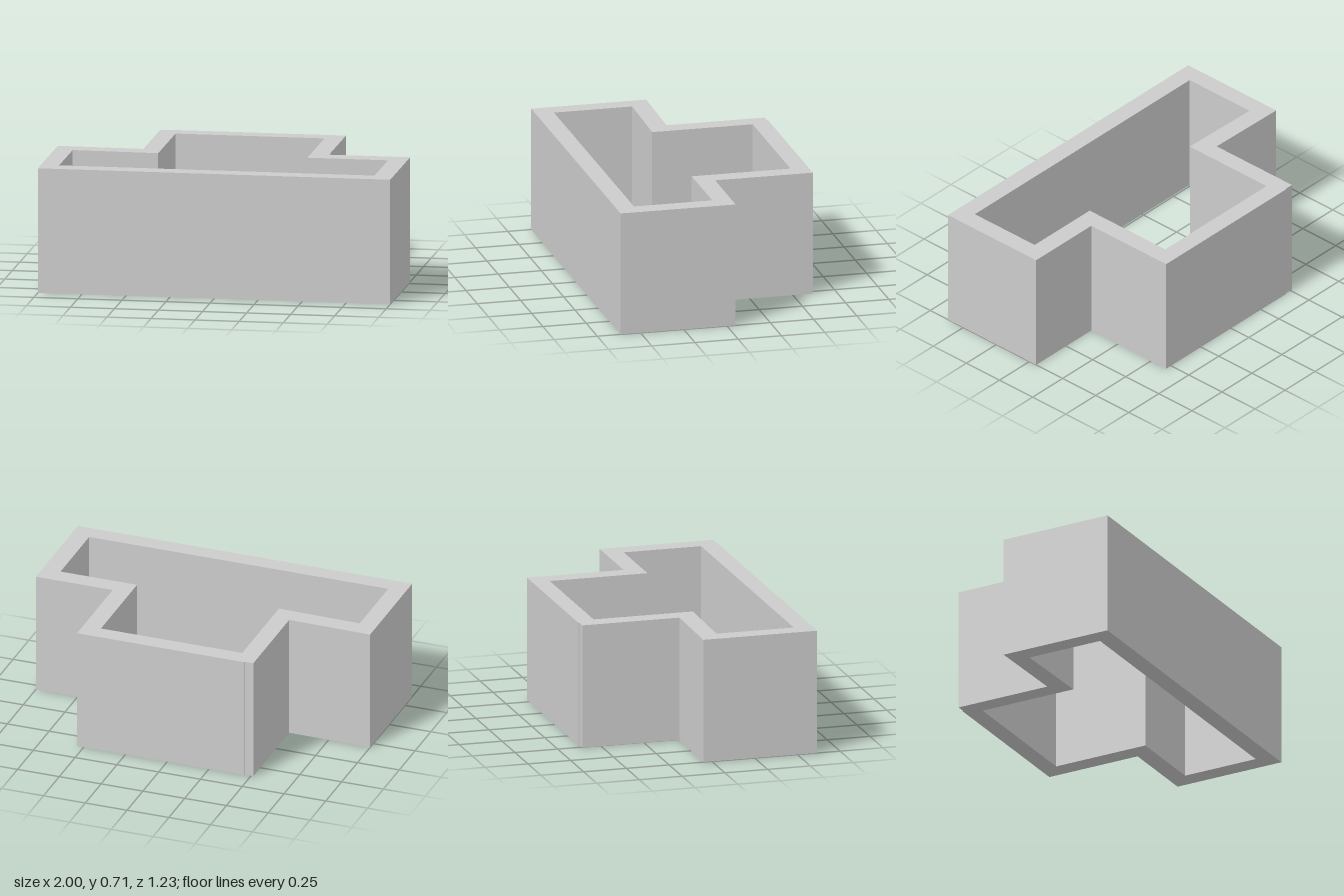
import * as THREE from 'three';

const HEIGHT = 0.71;

// Plan outlines as [x, z] corners
const OUTER = [
  [-1, 0.615], [1, 0.615], [1, -0.05], [0.54, -0.05], [0.54, -0.615],
  [-0.46, -0.615], [-0.46, -0.61], [-0.513, -0.61], [-0.513, -0.042], [-1, -0.05],
];
const INNER = [
  [-0.897, 0.51], [0.893, 0.51], [0.893, 0.058], [0.435, 0.058],
  [0.435, -0.513], [-0.41, -0.513], [-0.41, 0.068], [-0.897, 0.058],
];

const toPlan = (corners) => corners.map(([x, z]) => new THREE.Vector2(x, -z));

export function createModel() {
  const group = new THREE.Group();
  group.name = 'walledRoom';

  // T-shaped ring of walls, open at top and bottom
  const plan = new THREE.Shape(toPlan(OUTER));
  plan.holes.push(new THREE.Path(toPlan(INNER)));
  const geometry = new THREE.ExtrudeGeometry(plan, { depth: HEIGHT, bevelEnabled: false });
  geometry.rotateX(-Math.PI / 2);

  const walls = new THREE.Mesh(
    geometry,
    new THREE.MeshStandardMaterial({ color: 0xcccccc, flatShading: true }),
  );
  walls.name = 'walls';
  group.add(walls);
  return group;
}
